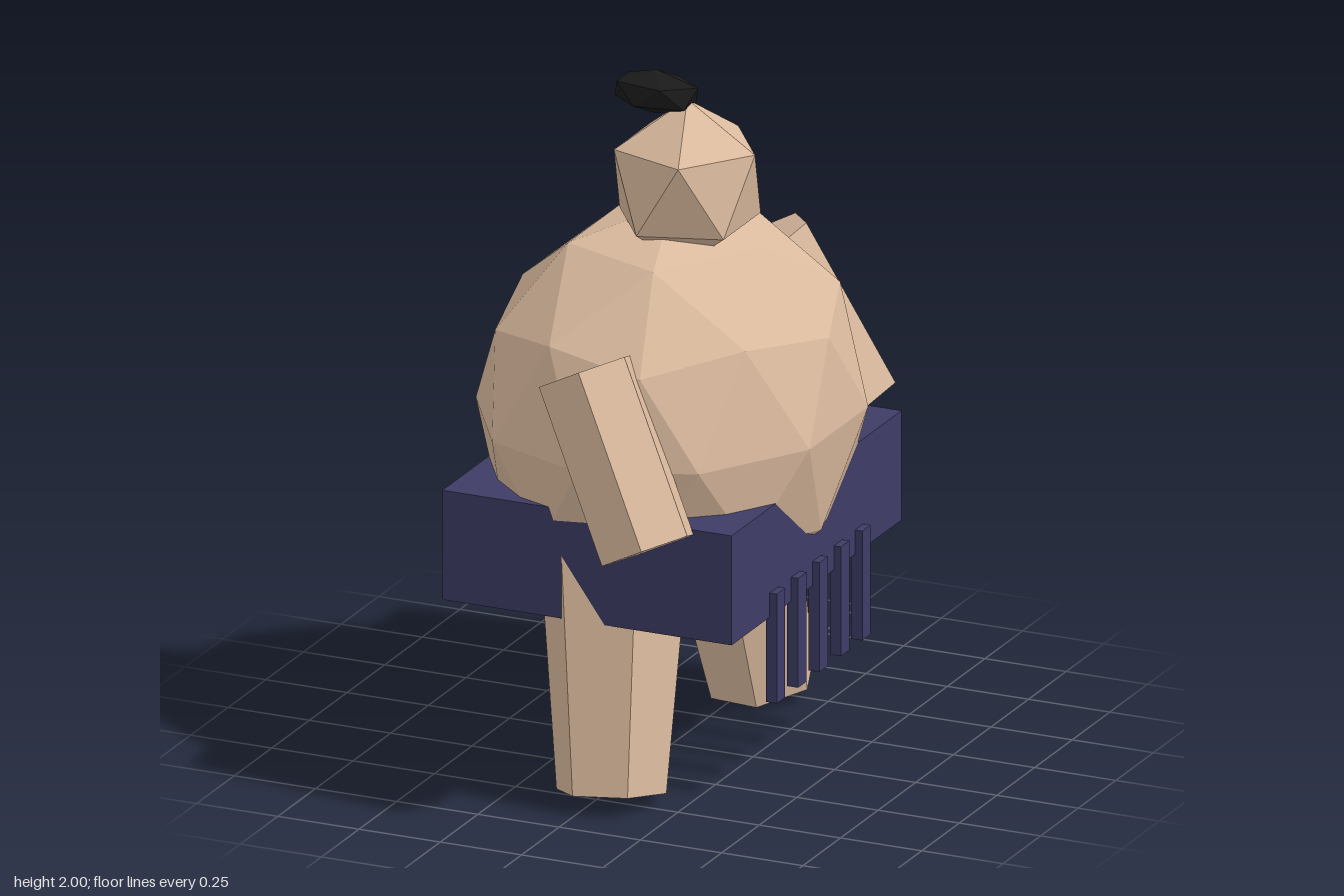
import * as THREE from 'three';

const skin = new THREE.MeshStandardMaterial({ color: 0xdcbb9f });
skin.name = 'skin';
const cloth = new THREE.MeshStandardMaterial({ color: 0x3e3c65 });
cloth.name = 'belt cloth';
const hair = new THREE.MeshStandardMaterial({ color: 0x1b1b1b });
hair.name = 'hair';

// Faceted normals
function facet(geometry) {
  const g = geometry.index ? geometry.toNonIndexed() : geometry;
  g.computeVertexNormals();
  return g;
}

function addMesh(parent, name, geometry, material) {
  const mesh = new THREE.Mesh(facet(geometry), material);
  mesh.name = name;
  parent.add(mesh);
  return mesh;
}

// Icosphere standing on a pole, with an upper ring vertex toward +x
function icosphere(detail, radii, centre) {
  return new THREE.IcosahedronGeometry(1, detail)
    .rotateX(-Math.atan((1 + Math.sqrt(5)) / 2))
    .rotateY(Math.PI / 2)
    .scale(...radii)
    .translate(...centre);
}

// Six-sided limb from top to bottom; one corner points along ref
function limb(top, bottom, rTop, rBottom, ref) {
  const a = new THREE.Vector3(...top);
  const b = new THREE.Vector3(...bottom);
  const up = a.clone().sub(b);
  const length = up.length();
  up.normalize();
  const side = new THREE.Vector3(...ref);
  side.addScaledVector(up, -side.dot(up)).normalize();
  const basis = new THREE.Matrix4()
    .makeBasis(up.clone().cross(side), up, side)
    .setPosition(a.add(b).multiplyScalar(0.5));
  return new THREE.CylinderGeometry(rTop, rBottom, length, 6).applyMatrix4(basis);
}

export function createModel() {
  const model = new THREE.Group();
  model.name = 'wrestler';

  addMesh(model, 'body', icosphere(1, [0.54, 0.59, 0.63], [0, 1.02, 0]), skin);
  addMesh(model, 'head', icosphere(0, [0.233, 0.243, 0.235], [0.047, 1.683, 0]), skin);
  addMesh(model, 'topknot', icosphere(0, [0.143, 0.065, 0.079], [-0.048, 1.935, 0]), hair);

  // Belt and its hanging strips
  addMesh(model, 'belt', new THREE.BoxGeometry(0.89, 0.325, 1.13).translate(0, 0.713, 0), cloth);
  for (let i = -2; i <= 2; i++) {
    const strip = new THREE.BoxGeometry(0.034, 0.325, 0.056).translate(0.45, 0.46, i * 0.142);
    addMesh(model, 'beltStrip', strip, cloth);
  }

  // Mirrored arms and legs
  for (const s of [1, -1]) {
    const label = s > 0 ? 'A' : 'B';
    addMesh(model, 'arm' + label,
      limb([0.004, 1.305, s * 0.588], [0.238, 0.837, s * 0.675], 0.147, 0.147, [0.132, 0.065, s * 0.018]), skin);
    addMesh(model, 'leg' + label,
      limb([-0.017, 0.8, s * 0.346], [0.045, 0.035, s * 0.5], 0.222, 0.158, [-0.309, 0, s * 0.951]), skin);
  }
  return model;
}
